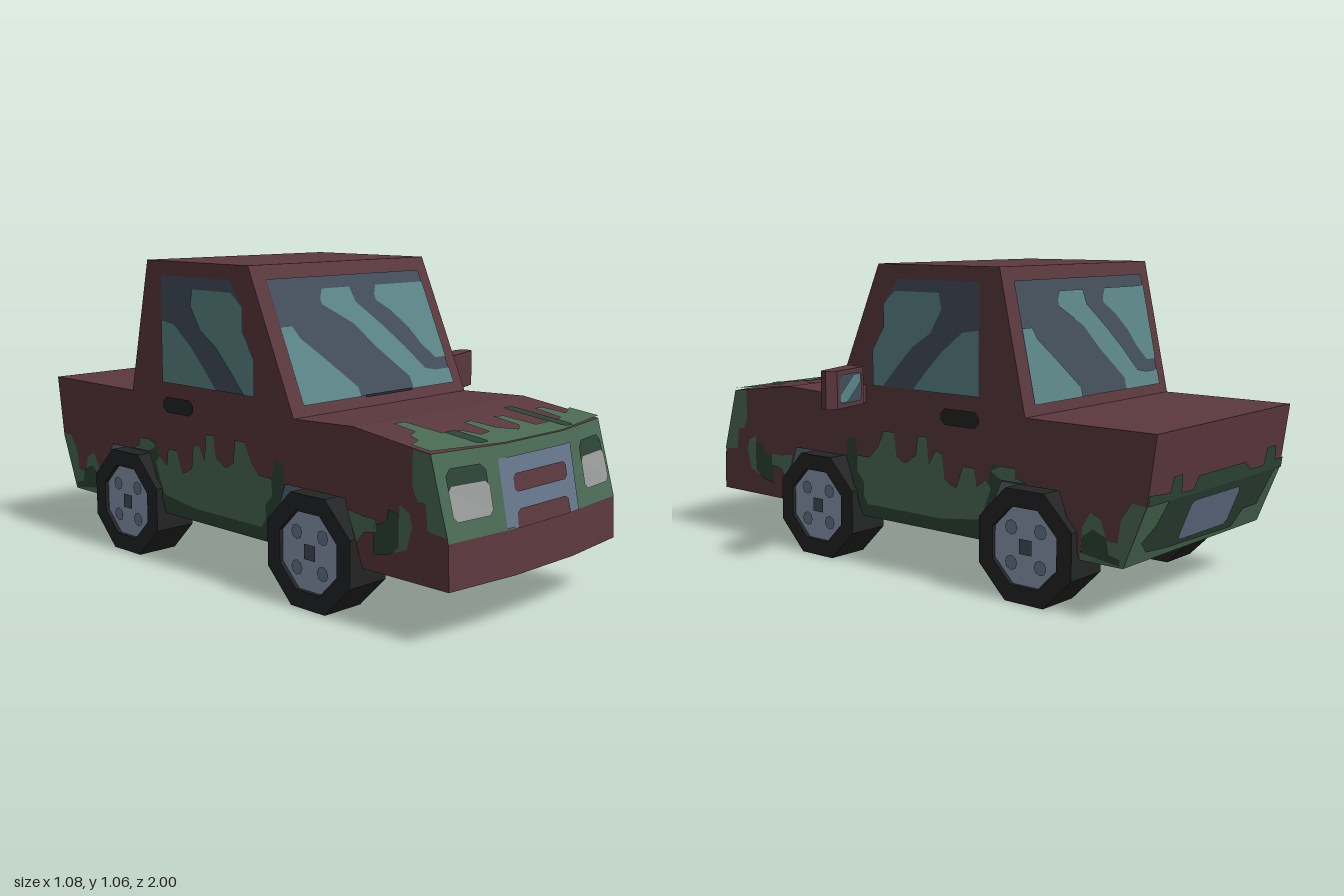
import * as THREE from 'three';

const paint = (name, color, side = THREE.FrontSide) => {
  const m = new THREE.MeshStandardMaterial({ color, side, flatShading: true });
  m.name = name;
  return m;
};

export function createModel() {
  const maroon = paint('maroon', 0x5b383e), green = paint('green', 0x4a6b54);
  const darkGreen = paint('dark green', 0x2c4435), glass = paint('glass', 0x5b8587);
  const darkGlass = paint('dark glass', 0x434e5a), black = paint('black', 0x232425);
  const rim = paint('rim', 0x8c99b0), steel = paint('steel', 0x66778c);
  const lamp = paint('lamp', 0x999c9a), under = paint('underside', 0x1f262d);

  const car = new THREE.Group();
  car.name = 'pickup';
  const C = -0.095, HALF = 0.42, MID = 0.145; // body centre, half width, half width of the middle strip
  const lerp = THREE.MathUtils.lerp;
  const add = (name, geo, mat, parent = car) => {
    const m = new THREE.Mesh(geo, mat);
    m.name = name;
    parent.add(m);
    return m;
  };

  // A flat outline [u,v,u,v...] laid onto a surface by map(u,v) -> [x,y,z]
  const plate = (name, mat, flat, map) => {
    const pts = [];
    for (let i = 0; i < flat.length; i += 2) pts.push(new THREE.Vector2(flat[i], flat[i + 1]));
    const geo = new THREE.ShapeGeometry(new THREE.Shape(pts));
    const p = geo.attributes.position;
    for (let i = 0; i < p.count; i++) p.setXYZ(i, ...map(p.getX(i), p.getY(i)));
    geo.computeVertexNormals();
    return add(name, geo, mat);
  };
  const rect = (u0, v0, u1, v1, r = 0.012) => [u0 + r, v0, u1 - r, v0, u1, v0 + r, u1, v1 - r,
    u1 - r, v1, u0 + r, v1, u0, v1 - r, u0, v0 + r];

  // Body rows running from the front bottom over the roof to the rear bottom:
  // [z at centre, z at side, y, material up to the next row]
  const upper = [
    [1.0, 0.97, 0.175, maroon], [0.99, 0.965, 0.315, green], [0.945, 0.895, 0.565, maroon],
    [0.59, 0.59, 0.605, maroon], [0.33, 0.33, 0.595, maroon], [0.12, 0.12, 1.065, maroon],
    [-0.41, -0.41, 1.065, maroon], [-0.515, -0.515, 0.595, maroon], [-1, -1, 0.595, maroon],
    [-0.97, -0.97, 0.375, green], [-0.89, -0.89, 0.175, under],
  ];
  // Underside rows with the wheel arches: [z, y, material up to the next row]
  const arches = [
    [-0.73, 0.175, darkGlass], [-0.65, 0.38, darkGlass], [-0.42, 0.38, darkGlass], [-0.33, 0.175, under],
    [0.21, 0.175, darkGlass], [0.29, 0.38, darkGlass], [0.555, 0.38, darkGlass], [0.63, 0.175, under],
  ];
  const rows = [...upper, ...arches.map(([z, y, m]) => [z, z, y, m]), upper[0]];

  // Body shell
  const shell = new Map();
  const xs = [-HALF, -0.28, -MID, MID, 0.28, HALF];
  for (let i = 0; i < xs.length - 1; i++) {
    const middle = i === 2;
    const at = (x, k) => {
      const [zc, zs, y] = rows[k];
      const t = (Math.abs(x) - MID) / (HALF - MID);
      const flat = middle && k >= upper.length && k < rows.length - 1;
      return [C + x, flat ? 0.175 : y, lerp(zc, zs, t)];
    };
    for (let k = 0; k < rows.length - 1; k++) {
      const mat = middle && k >= upper.length ? under : rows[k][3];
      const a = at(xs[i], k), b = at(xs[i + 1], k), c = at(xs[i + 1], k + 1), d = at(xs[i], k + 1);
      if (!shell.has(mat)) shell.set(mat, []);
      shell.get(mat).push(...a, ...b, ...c, ...a, ...c, ...d);
    }
  }
  for (const [mat, v] of shell) {
    const geo = new THREE.BufferGeometry();
    geo.setAttribute('position', new THREE.Float32BufferAttribute(v, 3));
    geo.computeVertexNormals();
    add('bodyShell ' + mat.name, geo, mat);
  }

  // Anything on both flanks, given as [z,y,...]
  const flank = (name, mat, flat, off = 0, half = HALF) => {
    for (const s of [1, -1]) {
      const turned = flat.map((n, i) => (i % 2 ? n : -s * n));
      plate(name, mat, turned, (u, v) => [C + s * (half + off), v, -s * u]);
    }
  };
  flank('bodySide', maroon, rows.slice(0, -1).flatMap(r => [r[1], r[2]]));
  for (const k of [0, 4]) {
    flank('archInnerWall', darkGlass, arches.slice(k, k + 4).flatMap(r => [r[0], r[1]]), 0, MID);
  }

  // Flank camouflage
  flank('sillShadow', darkGreen, [0.21, 0.175, 0.27, 0.33, 0.29, 0.38, 0.28, 0.45, 0.24, 0.45, 0.22, 0.34,
    0.0, 0.34, -0.03, 0.42, -0.06, 0.34, -0.36, 0.34, -0.38, 0.43, -0.41, 0.43, -0.415, 0.37, -0.33, 0.175], 0.002);
  flank('sillGreen', green, [0.18, 0.22, 0.2, 0.25, 0.2, 0.3, 0.23, 0.33, 0.23, 0.39, 0.17, 0.39, 0.13, 0.43,
    0.1, 0.49, 0.05, 0.49, 0.04, 0.41, 0.0, 0.39, -0.05, 0.42, -0.06, 0.49, -0.1, 0.49, -0.11, 0.4,
    -0.14, 0.45, -0.17, 0.44, -0.18, 0.36, -0.23, 0.33, -0.26, 0.41, -0.31, 0.41, -0.32, 0.35,
    -0.36, 0.38, -0.38, 0.35, -0.34, 0.25, -0.32, 0.24, -0.16, 0.22], 0.004);
  flank('rearArchGreen', green, [-0.42, 0.385, -0.38, 0.41, -0.42, 0.43, -0.48, 0.43, -0.48, 0.4, -0.53, 0.385], 0.004);
  flank('frontArchGreen', green, [0.57, 0.35, 0.58, 0.32, 0.61, 0.25, 0.64, 0.29, 0.69, 0.3, 0.69, 0.34, 0.64, 0.34], 0.004);
  flank('fenderGreen', green, [0.964, 0.33, 0.895, 0.565, 0.83, 0.57, 0.83, 0.46, 0.85, 0.42, 0.88, 0.42, 0.89, 0.34], 0.002);
  flank('fenderDrip', green, [0.83, 0.34, 0.81, 0.27, 0.76, 0.25, 0.74, 0.32, 0.78, 0.36, 0.78, 0.4, 0.82, 0.38], 0.002);
  flank('fenderDark', darkGreen, [0.78, 0.37, 0.74, 0.38, 0.73, 0.34, 0.68, 0.32, 0.68, 0.23, 0.74, 0.24, 0.78, 0.27], 0.004);
  flank('tailGreen', green, [-0.73, 0.175, -0.74, 0.28, -0.77, 0.33, -0.81, 0.31, -0.83, 0.25, -0.87, 0.25, -0.88, 0.32,
    -0.92, 0.38, -0.968, 0.375, -0.89, 0.175], 0.002);
  flank('tailDark', darkGreen, [-0.735, 0.2, -0.74, 0.25, -0.78, 0.28, -0.83, 0.26, -0.84, 0.21, -0.88, 0.2, -0.88, 0.18], 0.004);

  // Side windows and door handles
  flank('sideWindow', darkGlass, [0.147, 0.645, 0.147, 0.77, 0.094, 0.85, 0.094, 0.93, 0.03, 1.015, -0.33, 1.015, -0.33, 0.645], 0.003);
  flank('sideWindowShine', glass, [0.147, 0.645, 0.147, 0.77, 0.094, 0.85, 0.094, 0.93, 0.04, 0.975, -0.16, 0.975, -0.17, 0.92,
    -0.12, 0.84, -0.04, 0.79, 0.04, 0.71, 0.1, 0.645], 0.006);
  flank('sideWindowShine', glass, [-0.04, 0.645, -0.1, 0.71, -0.17, 0.78, -0.26, 0.85, -0.33, 0.86, -0.33, 0.645], 0.006);
  flank('doorHandle', black, rect(-0.33, 0.54, -0.165, 0.595, 0.018), 0.005);

  // Windshield and rear window, each on its slanted panel
  const slanted = (side, z0, z1, off) => (u, v) =>
    [side > 0 ? u : 2 * C - u, v, lerp(z0, z1, (v - 0.595) / 0.47) + side * off];
  for (const [name, side, z0, z1] of [['windshield', 1, 0.33, 0.12], ['rearWindow', -1, -0.515, -0.41]]) {
    const low = slanted(side, z0, z1, 0.004), high = slanted(side, z0, z1, 0.007);
    plate(name, darkGlass, rect(-0.46, 0.63, 0.275, 1.02, 0.004), low);
    plate(name + 'Shine', glass, [-0.46, 0.63, -0.46, 0.87, -0.41, 0.87, -0.39, 0.83, -0.32, 0.77, -0.2, 0.66, -0.2, 0.63], high);
    plate(name + 'Shine', glass, [-0.25, 0.95, -0.23, 0.98, -0.1, 0.98, -0.09, 0.93, 0, 0.85, 0.08, 0.77, 0.15, 0.69,
      0.2, 0.68, 0.275, 0.68, 0.275, 0.63, 0.06, 0.63, 0.06, 0.67, -0.06, 0.78, -0.13, 0.86, -0.25, 0.93], high);
    plate(name + 'Shine', glass, [0.01, 0.95, 0.03, 0.98, 0.275, 0.98, 0.275, 0.72, 0.22, 0.72, 0.17, 0.77, 0.13, 0.83,
      0.07, 0.89, 0.01, 0.93], high);
  }
  plate('wiper', black, [-0.18, 0.626, 0.05, 0.626, 0.05, 0.634, -0.18, 0.634], slanted(1, 0.33, 0.12, 0.009));

  // Hood camouflage, given as [x,-z,...]
  const hood = off => (u, v) => [u, 0.565 + (0.945 + v) * 0.113 + off, -v];
  plate('hoodGreen', green, [-0.515, -0.895, -0.24, -0.945, 0.05, -0.945, 0.325, -0.895, 0.325, -0.78, 0.25, -0.82,
    0.24, -0.73, 0.2, -0.73, 0.18, -0.85, 0.08, -0.86, 0.03, -0.86, 0.02, -0.74, -0.02, -0.73, -0.03, -0.84, -0.07, -0.87,
    -0.12, -0.82, -0.13, -0.73, -0.17, -0.73, -0.18, -0.84, -0.23, -0.85, -0.25, -0.79, -0.33, -0.78, -0.335, -0.635,
    -0.385, -0.635, -0.395, -0.73, -0.44, -0.75, -0.46, -0.8, -0.515, -0.82], hood(0.003));
  plate('hoodDark', darkGreen, rect(-0.33, -0.92, -0.275, -0.785), hood(0.006));
  plate('hoodDark', darkGreen, rect(0.09, -0.93, 0.14, -0.68), hood(0.006));

  // Front: grille and headlights follow the folded nose
  const nose = off => (x, y) => {
    const t = Math.max(0, (Math.abs(x - C) - MID) / (HALF - MID)), k = (y - 0.315) / 0.25;
    return [x, y, lerp(lerp(0.99, 0.945, k), lerp(0.965, 0.895, k), t) + off];
  };
  plate('grille', steel, rect(-0.24, 0.315, 0.05, 0.525, 0), nose(0.003));
  plate('grilleLeg', steel, rect(-0.275, 0.32, -0.24, 0.525, 0), nose(0.003));
  plate('grilleLeg', steel, rect(0.05, 0.315, 0.09, 0.525, 0), nose(0.003));
  plate('grilleSlot', maroon, rect(-0.225, 0.42, 0.04, 0.475), nose(0.006));
  plate('grilleGap', maroon, [-0.228, 0.315, 0.038, 0.315, 0.034, 0.36, 0.02, 0.37, -0.21, 0.37, -0.224, 0.36], nose(0.006));
  for (const x of [-0.485, 0.14]) {
    plate('headlightBrow', darkGreen, rect(x + 0.003, 0.44, x + 0.157, 0.52, 0.02), nose(0.005));
    plate('headlight', lamp, rect(x, 0.37, x + 0.16, 0.472, 0.015), nose(0.008));
  }

  // Tail camouflage and number plate
  const tailUp = (u, v) => [2 * C - u, v, lerp(-0.97, -1, (v - 0.375) / 0.22) - 0.004];
  const tailLow = off => (u, v) => [2 * C - u, v, lerp(-0.89, -0.97, (v - 0.175) / 0.2) - off];
  plate('tailgateDrips', darkGreen, [-0.515, 0.375, 0.325, 0.375, 0.325, 0.41, 0.27, 0.41, 0.26, 0.46, 0.2, 0.46, 0.19, 0.4,
    0.1, 0.4, 0.06, 0.43, -0.24, 0.43, -0.26, 0.39, -0.33, 0.39, -0.34, 0.45, -0.39, 0.45, -0.4, 0.4, -0.515, 0.41], tailUp);
  plate('tailgateDark', darkGreen, [-0.47, 0.25, -0.42, 0.21, -0.3, 0.2, 0.12, 0.19, 0.16, 0.25, 0.25, 0.25, 0.28, 0.375,
    -0.4, 0.375, -0.42, 0.3], tailLow(0.004));
  plate('numberPlate', steel, rect(-0.25, 0.215, 0.06, 0.35, 0.015), tailLow(0.008));

  // Wheels: eight-sided tyre with a recessed rim, built with the axle along y
  const W = 0.158, R = 0.2, r = 0.138;
  const tyre = new THREE.LatheGeometry([[0, 0], [R, 0], [R, W], [r, W], [r, W - 0.015]]
    .map(p => new THREE.Vector2(...p)), 8, Math.PI / 8).toNonIndexed();
  tyre.computeVertexNormals();
  const disc = (rad, n, start, x, y, z) =>
    new THREE.CircleGeometry(rad, n, start).rotateX(-Math.PI / 2).translate(x, y, z);
  for (const s of [1, -1]) for (const z of [0.42, -0.535]) {
    const wheel = new THREE.Group();
    wheel.name = z > 0 ? 'frontWheel' : 'rearWheel';
    add('tyre', tyre, black, wheel);
    add('rim', disc(r, 8, Math.PI / 8, 0, W - 0.014, 0), rim, wheel);
    add('hub', disc(0.035, 4, Math.PI / 4, 0, W - 0.008, 0), darkGlass, wheel);
    for (const a of [-1, 1]) for (const b of [-1, 1]) {
      add('rimHole', disc(0.025, 8, 0, a * 0.058, W - 0.009, b * 0.058), steel, wheel);
    }
    wheel.rotation.z = -s * Math.PI / 2;
    wheel.position.set(C + s * (HALF + 0.028 - W), 0.185, z);
    car.add(wheel);
  }

  // Single door mirror with its arm
  const outline = [[0.345, -0.255], [0.53, -0.195], [0.537, -0.165], [0.505, -0.143], [0.345, -0.18]];
  const head = new THREE.ExtrudeGeometry(new THREE.Shape(outline.map(p => new THREE.Vector2(...p))),
    { depth: 0.13, bevelEnabled: false }).rotateX(-Math.PI / 2).translate(0, 0.58, 0);
  add('mirrorHead', head, maroon);
  add('mirrorArm', new THREE.BoxGeometry(0.045, 0.065, 0.06).translate(0.34, 0.6125, 0.217), maroon);
  const mirrorBack = off => (u, v) => [-u, v, lerp(0.18, 0.143, (-u - 0.345) / 0.16) - off];
  plate('mirrorGlass', darkGlass, rect(-0.495, 0.595, -0.36, 0.695), mirrorBack(0.003));
  plate('mirrorShine', glass, [-0.49, 0.6, -0.45, 0.6, -0.37, 0.66, -0.37, 0.69, -0.41, 0.69, -0.49, 0.63], mirrorBack(0.006));

  return car;
}
